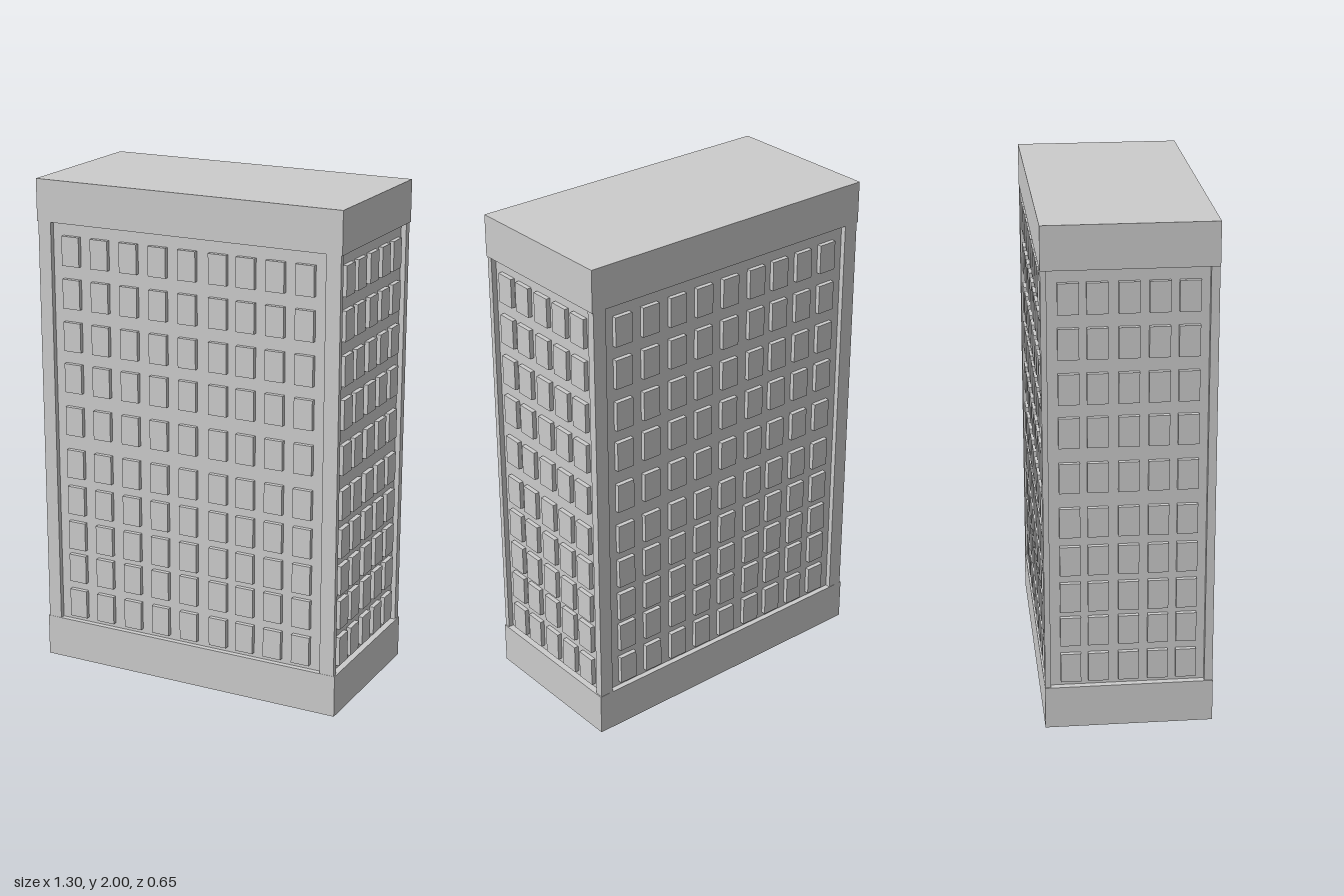
import * as THREE from 'three';

export function createModel() {
  const model = new THREE.Group();
  const material = new THREE.MeshStandardMaterial({ color: 0xcccccc, flatShading: true });

  // Box given by its lower and upper corners
  function addBox(parent, name, [x0, y0, z0], [x1, y1, z1]) {
    const mesh = new THREE.Mesh(new THREE.BoxGeometry(x1 - x0, y1 - y0, z1 - z0), material);
    mesh.position.set((x0 + x1) / 2, (y0 + y1) / 2, (z0 + z1) / 2);
    mesh.name = name;
    parent.add(mesh);
  }

  const W = 0.648, D = 0.325;              // half size of base and roof block
  const bottom = 0.17, top = 1.833;        // height range of the facades
  const coreX = 0.622, coreZ = 0.303;      // recessed wall planes

  addBox(model, 'base', [-W, 0, -D], [W, bottom, D]);
  addBox(model, 'roofBlock', [-W, top, -D], [W, 2, D]);
  addBox(model, 'recessedWalls', [-coreX, bottom, -coreZ], [coreX, top, coreZ]);

  // Window grid
  const rows = [0.248, 0.401, 0.544, 0.695, 0.851, 1.031, 1.21, 1.38, 1.553, 1.724];
  const wideColumns = [-0.504, -0.377, -0.249, -0.122, 0.005, 0.136, 0.253, 0.375, 0.497];
  const sideColumns = [0.224, 0.118, 0.002, -0.11, -0.219];
  const h = 0.059, depth = 0.018;

  // Each half holds one wide and one narrow facade; the second is turned by 180 degrees
  for (const name of ['frontRightHalf', 'backLeftHalf']) {
    const half = new THREE.Group();
    half.name = name;
    if (name === 'backLeftHalf') half.rotation.y = Math.PI;

    // Corner posts framing the recessed walls
    addBox(half, 'cornerPost', [0.583, bottom, 0.302], [0.643, top, 0.324]);
    addBox(half, 'cornerPost', [-0.643, bottom, 0.292], [-0.588, top, 0.324]);

    // Raised windows
    for (const y of rows) {
      for (const x of wideColumns) {
        addBox(half, 'wideFacadeWindow', [x - 0.038, y - h, coreZ - 0.005], [x + 0.038, y + h, coreZ + depth]);
      }
      for (const z of sideColumns) {
        addBox(half, 'sideFacadeWindow', [coreX - 0.005, y - h, z - 0.039], [coreX + depth, y + h, z + 0.039]);
      }
    }
    model.add(half);
  }

  return model;
}
